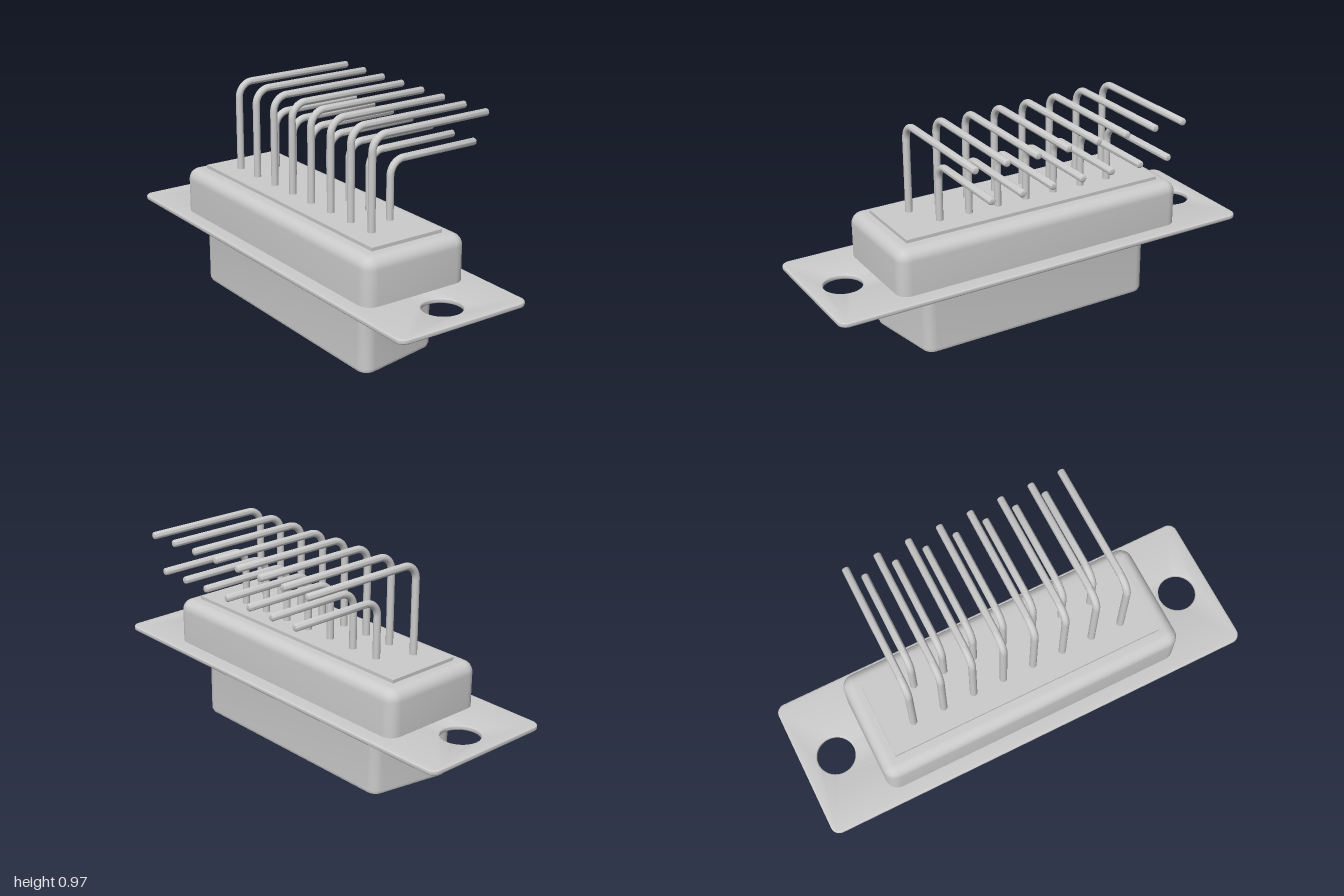
import * as THREE from 'three';
import { toCreasedNormals } from 'three/addons/utils/BufferGeometryUtils.js';

const material = new THREE.MeshStandardMaterial({ color: 0xcccccc });
const CZ = 0.098; // centre line of the body in z

// Rounded four-sided outline in (x, z); the +z side is the wide one, sides lean in by "lean".
function outline(halfX, z0, z1, r, lean, offset = 0, steps = 6) {
  const xWide = halfX - r, xNarrow = xWide - (z1 - z0 - 2 * r) * Math.tan(lean);
  const H = Math.PI / 2;
  const corners = [
    [xWide, z1 - r, -lean, H],
    [-xWide, z1 - r, H, 2 * H + lean],
    [-xNarrow, z0 + r, 2 * H + lean, 3 * H],
    [xNarrow, z0 + r, 3 * H, 4 * H - lean],
  ];
  const points = [];
  for (const [x, z, a, b] of corners) {
    for (let i = 0; i <= steps; i++) {
      const t = a + (b - a) * i / steps;
      points.push(new THREE.Vector2(x + (r + offset) * Math.cos(t), z + (r + offset) * Math.sin(t)));
    }
  }
  return points;
}

// Skin a stack of offset outlines, listed upwards as [offset, y]; optionally close the top.
function loft(makeOutline, rows, closeTop) {
  const pos = [], index = [];
  for (const [offset, y] of rows) for (const p of makeOutline(offset)) pos.push(p.x, y, p.y);
  const n = makeOutline(0).length;
  for (let i = 0; i < rows.length - 1; i++) {
    for (let j = 0; j < n; j++) {
      const a = i * n + j, b = i * n + (j + 1) % n;
      index.push(a, a + n, b, b, a + n, b + n);
    }
  }
  if (closeTop) {
    const start = (rows.length - 1) * n;
    pos.push(0, rows[rows.length - 1][1], CZ);
    for (let j = 0; j < n; j++) index.push(start + j, rows.length * n, start + (j + 1) % n);
  }
  const g = new THREE.BufferGeometry();
  g.setAttribute('position', new THREE.Float32BufferAttribute(pos, 3));
  g.setIndex(index);
  return toCreasedNormals(g, 0.6);
}

function circleHole(x, z, r) {
  return new THREE.Path().absarc(x, z, r, 0, Math.PI * 2, true);
}

// Flat plate from an (x, z) outline with holes, hanging down from the height "top".
function plate(points, holes, top, depth, bevel = 0) {
  const shape = new THREE.Shape(points);
  shape.holes.push(...holes);
  const g = new THREE.ExtrudeGeometry(shape, {
    depth: depth - 2 * bevel, bevelEnabled: bevel > 0, bevelThickness: bevel,
    bevelSize: bevel, bevelOffset: -bevel, bevelSegments: 3, curveSegments: 20,
  });
  g.rotateX(Math.PI / 2).translate(0, top - bevel, 0);
  return toCreasedNormals(g, 0.6);
}

// Two staggered pin rows: eight tall at the front, seven short behind.
const pitch = 0.1414, pinR = 0.016;
const pinRows = [
  { name: 'tallPin', count: 8, z: 0.174, top: 0.953 },
  { name: 'shortPin', count: 7, z: 0.028, top: 0.808 },
];
const pinX = (count, i) => -0.003 + (i - (count - 1) / 2) * pitch;

// A pin rises from the body, bends a quarter turn and runs back to z = -0.42.
function makePin(z, top) {
  const pin = new THREE.Group();
  const bend = 0.067, base = 0.5, end = -0.42, round = 0.006;
  const rise = top - bend - base;
  const stem = new THREE.CylinderGeometry(pinR, pinR, rise, 16, 1, true);
  stem.translate(0, base + rise / 2, z);
  const elbow = new THREE.TorusGeometry(bend, pinR, 16, 12, Math.PI / 2);
  elbow.rotateY(-Math.PI / 2).translate(0, top - bend, z - bend);
  const run = z - bend - end;
  const profile = [[pinR, 0], [pinR, run - round], [pinR - 0.002, run - 0.002], [pinR - round, run], [0, run]];
  const tail = new THREE.LatheGeometry(profile.map(p => new THREE.Vector2(...p)), 16);
  tail.rotateX(-Math.PI / 2).translate(0, top, z - bend);
  const parts = { pinStem: stem, pinElbow: elbow, pinTail: toCreasedNormals(tail, 0.9) };
  for (const [name, g] of Object.entries(parts)) {
    const mesh = new THREE.Mesh(g, material);
    mesh.name = name;
    pin.add(mesh);
  }
  return pin;
}

export function createModel() {
  const model = new THREE.Group();
  model.name = 'pinConnector';
  const add = (name, geometry) => {
    const mesh = new THREE.Mesh(geometry, material);
    mesh.name = name;
    model.add(mesh);
  };

  // Mounting flange with two screw holes
  add('mountingFlange', plate(outline(1, -0.22, 0.416, 0.04, 0),
    [-1, 1].map(s => circleHole(s * 0.848, 0.096, 0.084)), 0.335, 0.022, 0.006));

  // Tapered shell below the flange, with a rounded lip and a flared root
  const shell = o => outline(0.62, -0.1, 0.303, 0.05, Math.PI / 18, o);
  const shellRows = [[-0.012, 0], [-0.007, 0.003], [-0.005, 0.008], [-0.005, 0.017], [0, 0.018], [0, 0.29]];
  for (let i = 1; i <= 6; i++) {
    const t = i / 6 * Math.PI / 2;
    shellRows.push([0.025 * (1 - Math.cos(t)), 0.29 + 0.025 * Math.sin(t)]);
  }
  add('shell', loft(shell, shellRows, false));

  // Insert filling the shell, pierced by one socket per pin
  const sockets = pinRows.flatMap(({ count, z }) =>
    Array.from({ length: count }, (_, i) => circleHole(pinX(count, i), z, 0.027)));
  add('socketInsert', plate(shell(-0.012), sockets, 0.315, 0.315));

  // Hood above the flange with a rounded top edge
  const hood = o => outline(0.702, -0.153, 0.352, 0.055, 0, o);
  const hoodRows = [[0, 0.33]];
  for (let i = 0; i <= 8; i++) {
    const t = i / 8 * Math.PI / 2;
    hoodRows.push([-0.05 * (1 - Math.cos(t)), 0.488 + 0.05 * Math.sin(t)]);
  }
  add('hood', loft(hood, hoodRows, true));

  // Raised plate the pins come out of
  const backPlate = new THREE.BoxGeometry(1.26, 0.053, 0.352);
  backPlate.translate(0, 0.5265, 0.1);
  add('backPlate', backPlate);

  // Bent pins
  for (const { name, count, z, top } of pinRows) {
    for (let i = 0; i < count; i++) {
      const pin = makePin(z, top);
      pin.name = name;
      pin.position.x = pinX(count, i);
      model.add(pin);
    }
  }
  return model;
}
